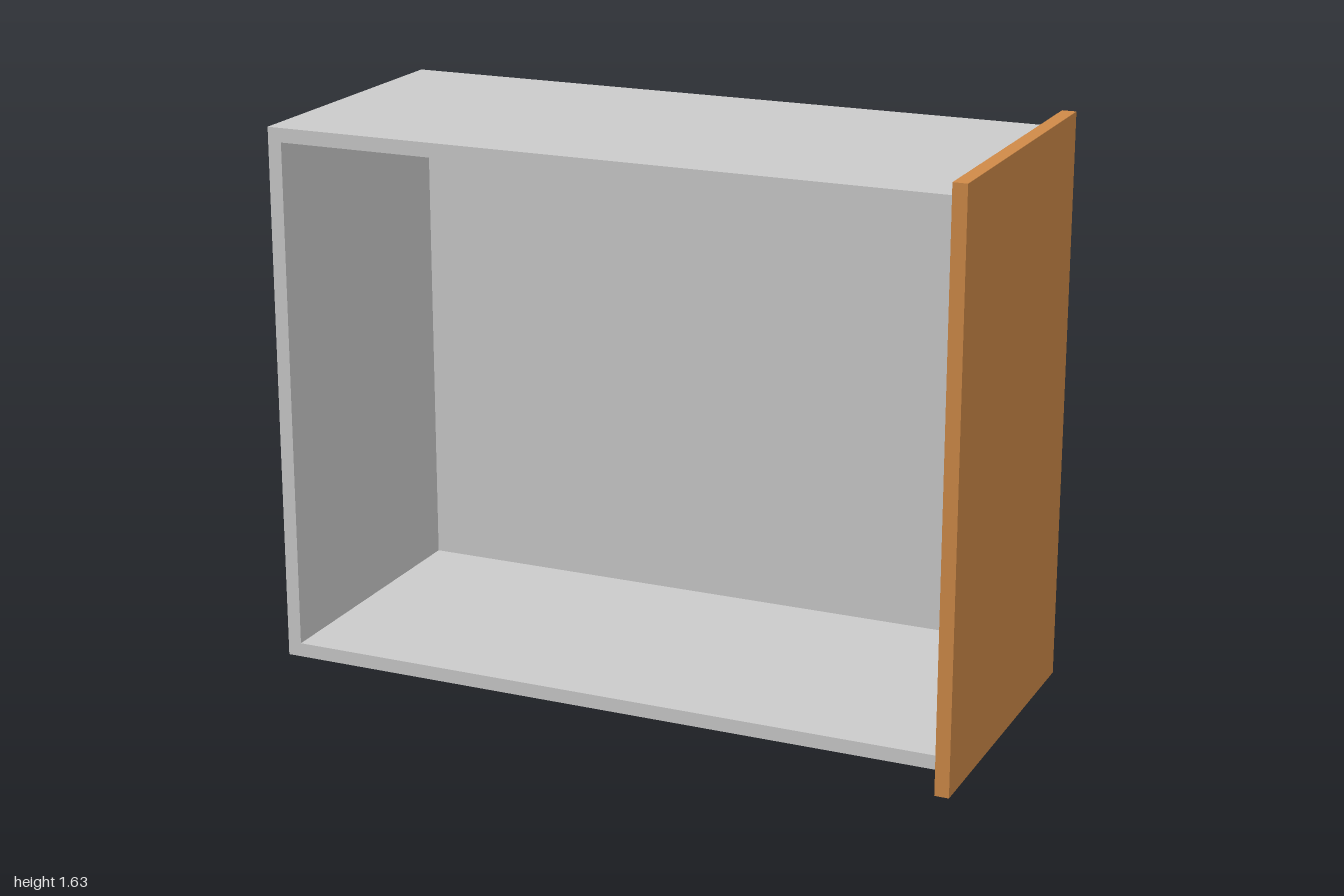
import * as THREE from 'three';

const WALL = 0.04;

function addBox(group, name, material, [x0, x1], [y0, y1], [z0, z1]) {
  const mesh = new THREE.Mesh(new THREE.BoxGeometry(x1 - x0, y1 - y0, z1 - z0), material);
  mesh.position.set((x0 + x1) / 2, (y0 + y1) / 2, (z0 + z1) / 2);
  mesh.name = name;
  group.add(mesh);
}

export function createModel() {
  const group = new THREE.Group();
  group.name = 'drawer';
  const grey = new THREE.MeshStandardMaterial({ color: 0xcccccc });
  const wood = new THREE.MeshStandardMaterial({ color: 0xcf8a48 });

  const left = -1, right = 0.96, low = 0.05, high = 1.585;
  const back = -0.46, front = 0.41;

  // Three drawer walls as one U-shaped frame, closed by the face panel
  const frame = new THREE.Shape([
    [left, low], [right, low], [right, low + WALL], [left + WALL, low + WALL],
    [left + WALL, high - WALL], [right, high - WALL], [right, high], [left, high],
  ].map(([x, y]) => new THREE.Vector2(x, y)));
  const walls = new THREE.Mesh(
    new THREE.ExtrudeGeometry(frame, { depth: front - back - WALL, bevelEnabled: false }), grey);
  walls.position.z = back + WALL;
  walls.name = 'drawerWalls';
  group.add(walls);

  // Drawer bottom, standing at the rear
  addBox(group, 'drawerBottom', grey, [left, right], [low, high], [back, back + WALL]);

  // Overhanging wooden face panel
  addBox(group, 'facePanel', wood, [right, 1], [0, 1.63], [back, 0.46]);

  return group;
}
